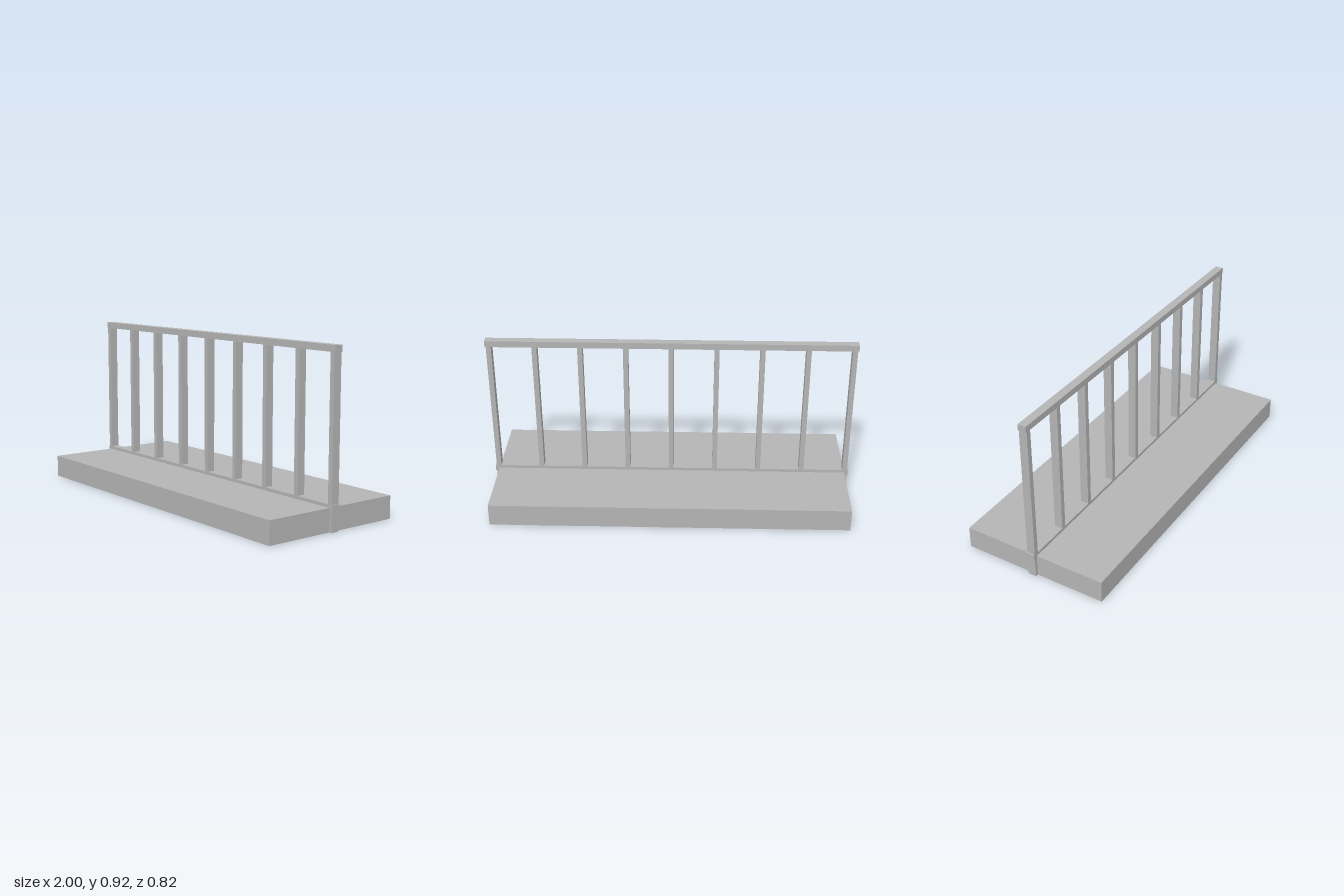
import * as THREE from 'three';

export function createModel() {
  const model = new THREE.Group();
  const grey = new THREE.MeshStandardMaterial({ color: 0xb4b4b4 });
  grey.name = 'plainGrey';

  // Box spanning y0..y1, centred on z = 0
  const addBox = (name, x, y0, y1, width, depth) => {
    const mesh = new THREE.Mesh(new THREE.BoxGeometry(width, y1 - y0, depth), grey);
    mesh.position.set(x, (y0 + y1) / 2, 0);
    mesh.name = name;
    model.add(mesh);
  };

  const railDepth = 0.046;
  const postWidth = 0.027;
  const postCount = 9;
  const postSpan = 1.96;

  // Floor slab
  addBox('baseSlab', 0, 0, 0.123, 1.956, 0.818);

  // Horizontal rails
  addBox('bottomRail', 0, 0.106, 0.14, 2, railDepth);
  addBox('topRail', 0, 0.883, 0.917, 2, railDepth);

  // Evenly spaced posts, running down to the ground
  for (let i = 0; i < postCount; i++) {
    const x = (i / (postCount - 1) - 0.5) * postSpan;
    addBox('post' + (i + 1), x, 0, 0.883, postWidth, railDepth);
  }

  return model;
}
